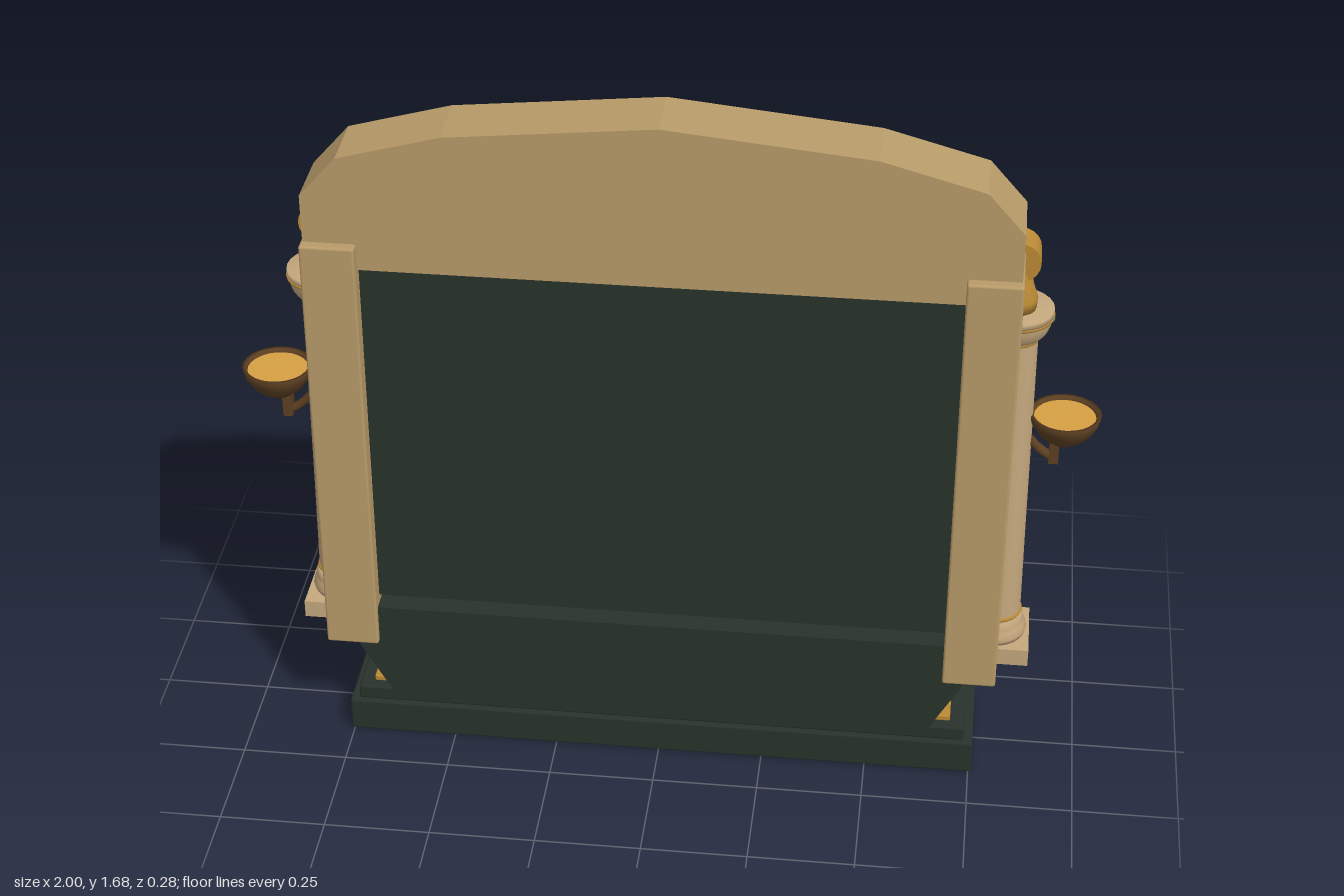
import * as THREE from 'three';
import { RoundedBoxGeometry } from 'three/addons/geometries/RoundedBoxGeometry.js';

const mat = (name, color, side = THREE.FrontSide) => {
  const m = new THREE.MeshStandardMaterial({ color, side });
  m.name = name;
  return m;
};

export function createModel() {
  const root = new THREE.Group();
  root.name = 'ornateFrame';
  const stone = mat('sandstone', 0xb89b69);
  const pale = mat('paleStone', 0xc4a77d);
  const dark = mat('darkGreen', 0x28322b);
  const gold = mat('gold', 0xbb8a35);
  const bright = mat('brightGold', 0xd6a043);
  const oldGold = mat('oldGold', 0x8c6628);
  const bronze = mat('bronze', 0x5c3f22, THREE.DoubleSide);
  const navy = mat('navy', 0x24264f);
  const teal = mat('teal', 0x23877f);

  const add = (name, geo, m, parent = root) => {
    const mesh = new THREE.Mesh(geo, m);
    mesh.name = name;
    parent.add(mesh);
    return mesh;
  };
  // Box given by its extents
  const box = (name, m, x0, x1, y0, y1, z0, z1, parent = root) => {
    const b = add(name, new THREE.BoxGeometry(x1 - x0, y1 - y0, z1 - z0), m, parent);
    b.position.set((x0 + x1) / 2, (y0 + y1) / 2, (z0 + z1) / 2);
    return b;
  };
  const rounded = (name, m, x0, x1, y0, y1, z0, z1, r = 0.006) => {
    const b = add(name, new RoundedBoxGeometry(x1 - x0, y1 - y0, z1 - z0, 2, r), m);
    b.position.set((x0 + x1) / 2, (y0 + y1) / 2, (z0 + z1) / 2);
    return b;
  };
  const polygon = (pts) => new THREE.Shape(pts.map(([x, y]) => new THREE.Vector2(x, y)));
  const slab = (name, m, shape, z0, z1, parent = root) => {
    const g = new THREE.ExtrudeGeometry(shape, { depth: z1 - z0, bevelEnabled: false, curveSegments: 8 });
    g.translate(0, 0, z0);
    return add(name, g, m, parent);
  };
  const lathe = (name, m, pts, parent, seg = 24) =>
    add(name, new THREE.LatheGeometry(pts.map(([r, y]) => new THREE.Vector2(r, y)), seg), m, parent);
  const roundRect = (w, h, r, Type = THREE.Shape) => {
    const s = new Type();
    s.moveTo(-w + r, -h).lineTo(w - r, -h).absarc(w - r, -h + r, r, -Math.PI / 2, 0)
      .lineTo(w, h - r).absarc(w - r, h - r, r, 0, Math.PI / 2)
      .lineTo(-w + r, h).absarc(-w + r, h - r, r, Math.PI / 2, Math.PI)
      .lineTo(-w, -h + r).absarc(-w + r, -h + r, r, Math.PI, Math.PI * 1.5);
    return s;
  };

  // Stepped plinth and flared foot
  rounded('plinth', dark, -0.757, 0.757, 0, 0.087, -0.14, 0.135);
  rounded('plinthStep', dark, -0.735, 0.735, 0.087, 0.125, -0.137, 0.125);
  rounded('plinthTrim', gold, -0.7, 0.7, 0.124, 0.14, -0.133, 0.1, 0.004);
  slab('flaredFoot', dark, polygon([[-0.65, 0.125], [0.65, 0.125], [0.788, 0.37], [-0.788, 0.37]]), -0.087, 0.13);
  rounded('sillMoulding', gold, -0.725, 0.725, 0.345, 0.362, -0.135, -0.07, 0.005);
  rounded('sillLowerMoulding', dark, -0.715, 0.715, 0.325, 0.345, -0.122, -0.07, 0.005);
  box('footTrim', gold, -0.7, 0.7, 0.309, 0.321, -0.1, -0.08);

  // Screen panel, arch
  box('panel', dark, -0.69, 0.69, 0.39, 1.3, 0, 0.105);
  slab('arch', stone, polygon([[-0.795, 1.295], [0.795, 1.295], [0.795, 1.475], [0.71, 1.572], [0.475, 1.637],
    [0, 1.685], [-0.475, 1.637], [-0.71, 1.572], [-0.795, 1.475]]), -0.035, 0.12);

  // Brick surround
  for (let i = 0; i < 9; i++) {
    const w = 1.36 / 9, x = -0.68 + i * w;
    box('topBrick', pale, x + 0.002, x + w - 0.002, 1.235, 1.35, -0.085, 0);
    box('sillBrick', pale, x + 0.002, x + w - 0.002, 0.365, 0.46, -0.088, 0.005);
  }
  for (const s of [-1, 1]) {
    for (let i = 0; i < 8; i++) {
      const h = 0.97 / 8, y = 0.38 + i * h;
      const b = box('sideBrick', pale, 0.64, 0.765, y + 0.002, y + h - 0.002, -0.085, 0.005);
      b.position.x *= s;
    }
  }

  // Mosaic frame: stone bed, gold edges, raised tiles
  const rect = (w, h, [cw, ch]) => {
    const s = polygon([[-w, 0.845 - h], [w, 0.845 - h], [w, 0.845 + h], [-w, 0.845 + h]]);
    s.holes.push(polygon([[-cw, 0.845 - ch], [-cw, 0.845 + ch], [cw, 0.845 + ch], [cw, 0.845 - ch]]));
    return s;
  };
  slab('frameBed', pale, rect(0.702, 0.456, [0.646, 0.4]), -0.104, -0.08);
  slab('frameOuterTrim', gold, rect(0.706, 0.46, [0.698, 0.452]), -0.112, -0.08);
  slab('frameInnerTrim', gold, rect(0.652, 0.406, [0.636, 0.39]), -0.114, -0.08);
  const tiles = (count, length, place) => {
    const step = length / count;
    for (let i = 0; i < count; i++) place(-length / 2 + (i + 0.5) * step, step * 0.4, i % 3 === 1 ? teal : navy);
  };
  for (const s of [-1, 1]) {
    tiles(20, 1.27, (c, h, m) => box('frameTile', m, c - h, c + h, 0.845 + s * 0.429 - 0.02, 0.845 + s * 0.429 + 0.02, -0.118, -0.1));
    tiles(11, 0.78, (c, h, m) => box('frameTile', m, s * 0.675 - 0.02, s * 0.675 + 0.02, 0.845 + c - h, 0.845 + c + h, -0.118, -0.1));
    for (const t of [-1, 1]) {
      const x = s * 0.675, y = 0.845 + t * 0.429;
      box('cornerPlate', gold, x - 0.029, x + 0.029, y - 0.029, y + 0.029, -0.119, -0.1);
      const stud = add('cornerStud', new THREE.CylinderGeometry(0.02, 0.02, 0.012, 16), teal);
      stud.rotation.x = Math.PI / 2;
      stud.position.set(x, y, -0.123);
    }
  }

  // Name plate with gold rim, and sun disc
  const rim = roundRect(0.315, 0.077, 0.03);
  rim.holes.push(roundRect(0.292, 0.056, 0.02, THREE.Path));
  slab('plateRim', gold, rim, -0.13, -0.108).position.y = 1.363;
  slab('plate', dark, roundRect(0.3, 0.064, 0.02), -0.123, -0.109).position.y = 1.363;
  const disc = add('sunDisc', new THREE.CylinderGeometry(0.066, 0.066, 0.022, 28), bright);
  disc.rotation.x = Math.PI / 2;
  disc.position.set(0, 1.515, -0.119);

  // Wings: an arched upper bar with two rows of swept feathers
  const wing = new THREE.Group();
  wing.name = 'wing';
  const curve = new THREE.CatmullRomCurve3([[0.03, 1.5], [0.15, 1.55], [0.31, 1.567], [0.5, 1.53], [0.68, 1.45]]
    .map(([x, y]) => new THREE.Vector3(x, y, -0.086)));
  add('wingBar', new THREE.TubeGeometry(curve, 24, 0.01, 6), gold, wing);
  const feather = (p, angle, length, width, m, z) => {
    const g = new THREE.SphereGeometry(0.5, 8, 6);
    g.scale(length, width, 0.014);
    g.translate(length * 0.5, 0, 0);
    const f = add('feather', g, m, wing);
    f.position.set(p.x, p.y, z);
    f.rotation.z = angle;
  };
  for (let i = 0; i < 14; i++) {
    const t = 0.02 + i * 0.061, p = curve.getPoint(t);
    feather(p, -0.62 - 0.25 * t, 0.15 - 0.05 * t, 0.026, i % 2 ? gold : oldGold, -0.082);
    feather(p, -0.6 - 0.25 * t, 0.075 - 0.02 * t, 0.024, i % 2 ? oldGold : gold, -0.089);
  }
  // Three small bars beside the plate
  for (let i = 0; i < 3; i++) box('accentBar', gold, 0.362 + i * 0.03, 0.376 + i * 0.03, 1.325, 1.4, -0.105, -0.088, wing);

  // Lotus fan on the foot
  const leaf = new THREE.Shape();
  leaf.moveTo(0, 0).quadraticCurveTo(0.014, 0.06, 0, 0.108).quadraticCurveTo(-0.014, 0.06, 0, 0);
  const lotus = new THREE.Group();
  lotus.name = 'lotus';
  for (let i = -3; i <= 3; i++) {
    const l = slab('lotusPetal', gold, leaf, -0.103, -0.085, lotus);
    l.rotation.z = i * 0.4;
    l.scale.y = 1 - 0.03 * (i % 2 ? 1 : 0);
  }
  box('lotusStem', gold, -0.007, 0.007, -0.022, 0.01, -0.1, -0.085, lotus);
  lotus.position.set(0.425, 0.178, 0);

  for (const s of [-1, 1]) {
    const name = s > 0 ? 'left' : 'right';
    rounded(name + 'Post', stone, s > 0 ? 0.675 : -0.8, s > 0 ? 0.8 : -0.675, 0.27, 1.36, -0.03, 0.145);
    const w = wing.clone(), l = lotus.clone();
    w.scale.x = s;
    l.position.x *= s;
    root.add(w, l);

    // Column on a square pedestal
    const col = new THREE.Group();
    col.name = name + 'Column';
    col.position.set(s * 0.787, 0, -0.038);
    root.add(col);
    box('pedestal', pale, -0.0875, 0.0875, 0.268, 0.312, -0.0875, 0.0875, col);
    lathe('columnBase', pale, [[0, 0.312], [0.076, 0.312], [0.08, 0.325], [0.074, 0.342], [0.07, 0.35],
      [0.071, 0.36], [0.064, 0.368], [0, 0.368]], col);
    lathe('columnShaft', pale, [[0.063, 0.36], [0.06, 0.6], [0.055, 1.14]], col);
    for (const [y, r] of [[0.376, 0.062], [1.135, 0.056]]) {
      const ring = add('goldRing', new THREE.TorusGeometry(r, 0.005, 6, 24), gold, col);
      ring.rotation.x = Math.PI / 2;
      ring.position.y = y;
    }
    lathe('capital', pale, [[0.056, 1.135], [0.066, 1.142], [0.076, 1.155], [0.083, 1.175], [0.084, 1.19]], col);
    lathe('capitalTop', pale, [[0, 1.19], [0.087, 1.19], [0.087, 1.208], [0, 1.208]], col);
    lathe('capitalTrim', gold, [[0.084, 1.188], [0.089, 1.188], [0.089, 1.193], [0.084, 1.193]], col);
    // Inlaid studs on the decorated side
    for (let i = 0; i < 5; i++) {
      const a = -Math.PI / 2 + (i - 1.5) * 0.55 * s;
      const stud = add('capitalStud', new THREE.SphereGeometry(0.009, 8, 6), i % 2 ? navy : teal, col);
      stud.position.set(Math.cos(a) * 0.083, 1.17, Math.sin(a) * 0.083);
    }

    // Gold finial: bust and rounded head facing the decorated side
    lathe('finialBust', gold, [[0, 1.208], [0.046, 1.208], [0.048, 1.235], [0.036, 1.27], [0.03, 1.3]], col, 16);
    const head = add('finialHead', new THREE.CylinderGeometry(0.049, 0.049, 0.078, 20), gold, col);
    head.rotation.x = Math.PI / 2;
    head.position.set(0, 1.33, -0.016);
    const face = add('finialFace', new THREE.SphereGeometry(0.034, 14, 10), gold, col);
    face.scale.z = 0.3;
    face.position.set(0, 1.325, -0.055);

    // Bowl lamp on a bracket
    const lamp = new THREE.Group();
    lamp.name = name + 'Lamp';
    lamp.position.set(s * 0.917, 0, -0.04);
    root.add(lamp);
    lathe('bowl', bronze, [[0, 0.852], [0.03, 0.856], [0.058, 0.878], [0.077, 0.907], [0.083, 0.93], [0.074, 0.93], [0.07, 0.918]], lamp);
    lathe('bowlFilling', bright, [[0.073, 0.921], [0, 0.922]], lamp);
    box('bracketStem', bronze, -0.03, -0.008, 0.798, 0.865, -0.014, 0.014, lamp).position.x *= s;
    const arm = add('bracketArm', new THREE.TubeGeometry(new THREE.QuadraticBezierCurve3(
      new THREE.Vector3(-s * 0.078, 0.86, 0), new THREE.Vector3(-s * 0.055, 0.825, 0), new THREE.Vector3(-s * 0.018, 0.808, 0)), 10, 0.01, 8), bronze, lamp);
    arm.scale.z = 1.4;
  }
  return root;
}
